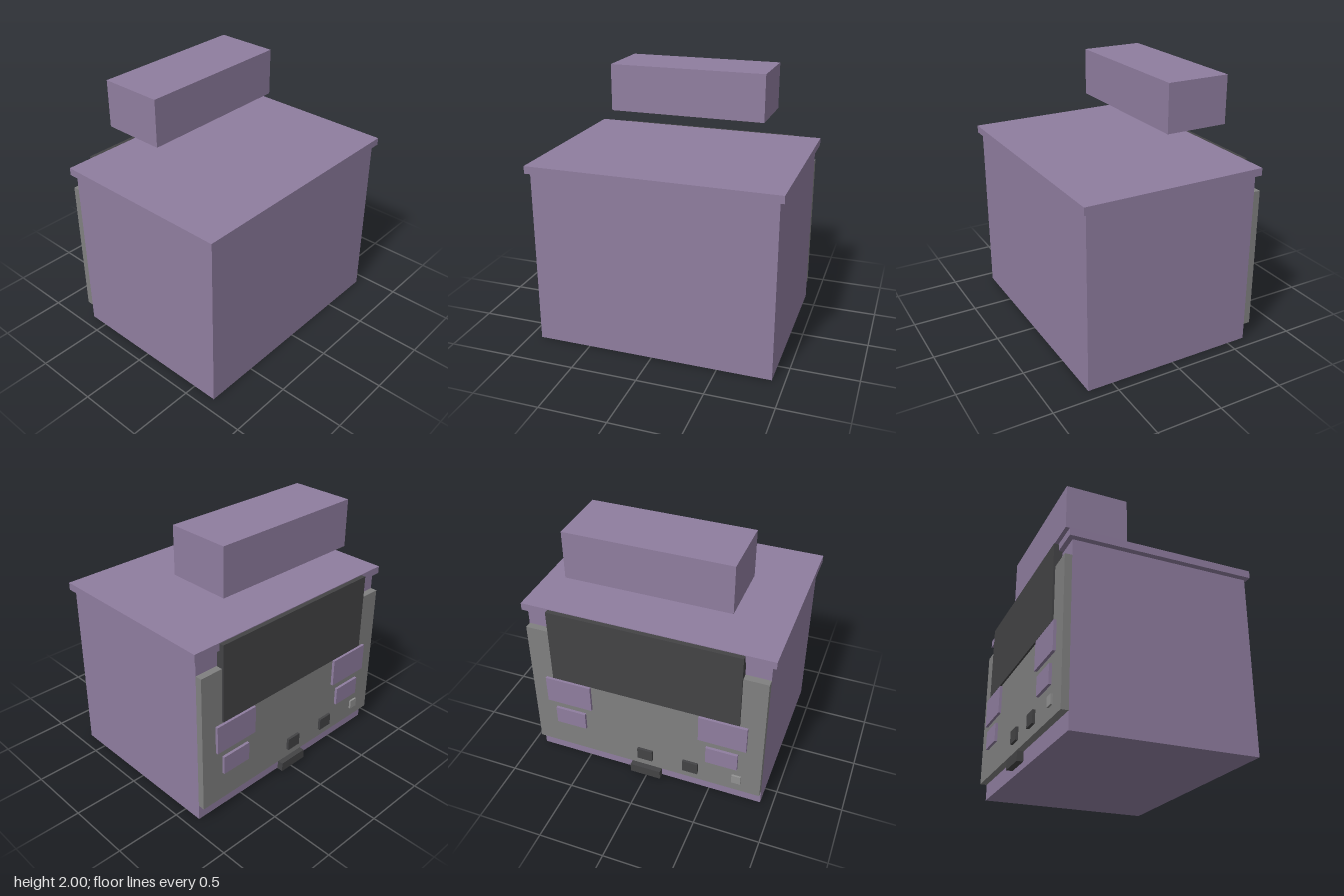
import * as THREE from 'three';

export function createModel() {
  const model = new THREE.Group();
  model.name = 'cabinet';

  const material = (name, color) => {
    const m = new THREE.MeshStandardMaterial({ color });
    m.name = name;
    return m;
  };
  const purple = material('purple', 0x8f7d9f);
  const grey = material('grey', 0x808080);
  const lightGrey = material('lightGrey', 0x929292);
  const dark = material('dark', 0x434345);

  // Box given by its lower and upper limits on each axis
  const box = (name, mat, [x0, x1], [y0, y1], [z0, z1]) => {
    const mesh = new THREE.Mesh(new THREE.BoxGeometry(x1 - x0, y1 - y0, z1 - z0), mat);
    mesh.position.set((x0 + x1) / 2, (y0 + y1) / 2, (z0 + z1) / 2);
    mesh.name = name;
    model.add(mesh);
  };

  // Main volumes: body, lid just above it, floating upper box
  box('body', purple, [-0.908, 0.908], [0, 1.335], [-0.645, 0.69]);
  box('lid', purple, [-0.94, 0.94], [1.343, 1.4], [-0.676, 0.718]);
  box('upperBox', purple, [-0.606, 0.606], [1.64, 2], [-0.586, -0.102]);

  // Rear panel and the dark screen set into it
  box('rearPanel', grey, [-0.908, 0.908], [0.125, 1.213], [-0.697, -0.645]);
  box('rearScreen', dark, [-0.727, 0.727], [0.793, 1.395], [-0.711, -0.65]);

  // Mirrored pairs of raised plates
  for (const side of [-1, 1]) {
    const span = (a, b) => [Math.min(side * a, side * b), Math.max(side * a, side * b)];
    box('upperPlate', purple, span(0.425, 0.788), [0.56, 0.78], [-0.718, -0.697]);
    box('lowerPlate', purple, span(0.485, 0.728), [0.353, 0.498], [-0.718, -0.697]);
  }

  // Small fittings along the bottom of the rear panel
  box('centreSocket', dark, [-0.06, 0.06], [0.194, 0.291], [-0.717, -0.697]);
  box('sideSocket', dark, [-0.424, -0.304], [0.194, 0.291], [-0.717, -0.697]);
  box('button', lightGrey, [-0.76, -0.69], [0.207, 0.279], [-0.712, -0.697]);
  box('bottomLatch', dark, [-0.122, 0.122], [0.025, 0.098], [-0.717, -0.67]);

  return model;
}
